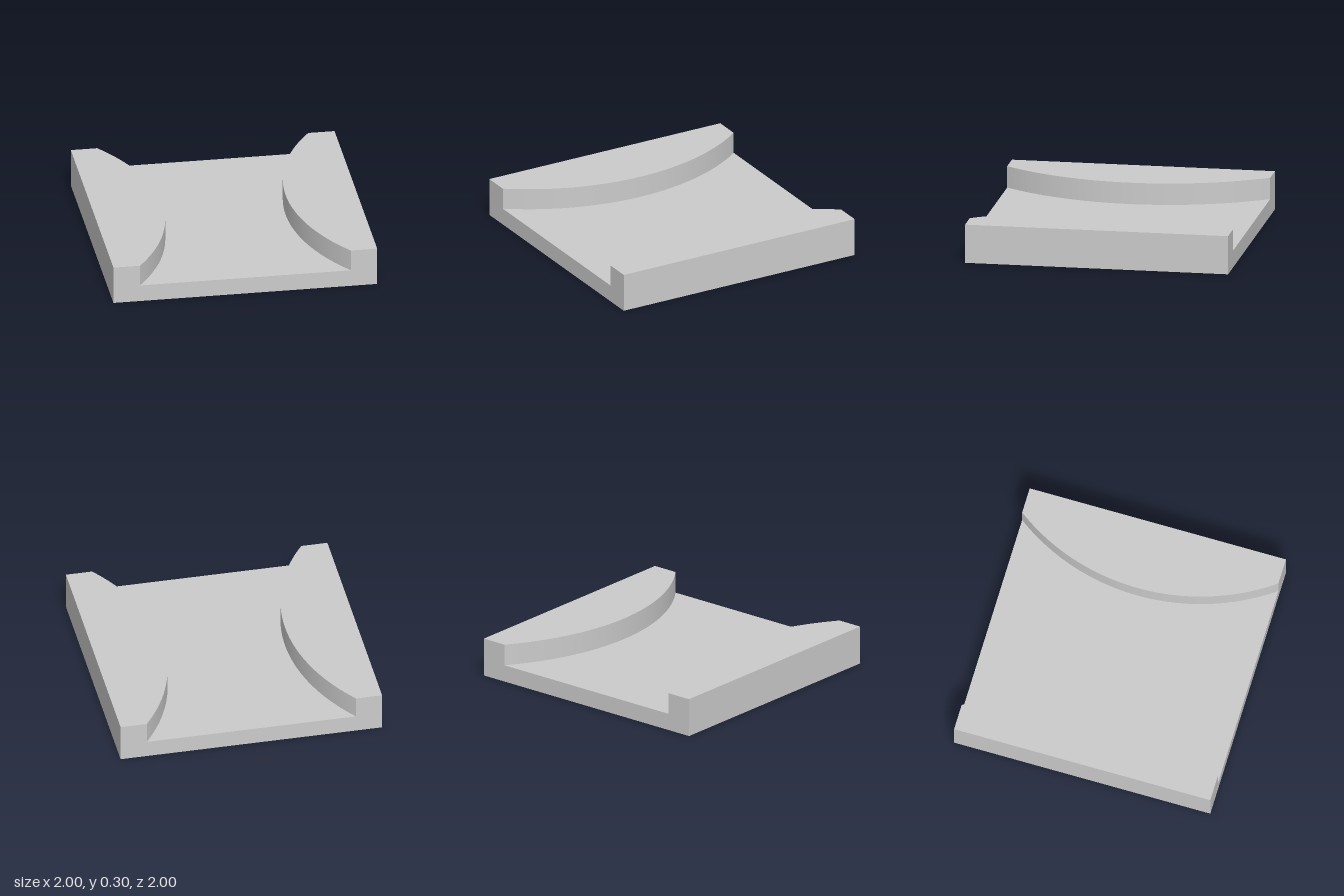
import * as THREE from 'three';
import { toCreasedNormals } from 'three/addons/utils/BufferGeometryUtils.js';

const BASE_H = 0.13, TOTAL_H = 0.295;
const END_X = 0.8, MID_X = 0.467; // inner edge of a side wall at its ends and middle

export function createModel() {
  const group = new THREE.Group();
  const material = new THREE.MeshStandardMaterial({ color: 0xcccccc });

  // Flat square floor plate
  const base = new THREE.Mesh(new THREE.BoxGeometry(2, BASE_H, 2), material);
  base.name = 'basePlate';
  base.position.y = BASE_H / 2;
  group.add(base);

  // Side wall outline: straight outside, circular arc bulging inwards
  const sag = END_X - MID_X;
  const radius = (1 + sag * sag) / (2 * sag);
  const half = Math.asin(1 / radius);
  const outline = new THREE.Shape();
  outline.moveTo(1, -1);
  outline.lineTo(1, 1);
  outline.lineTo(END_X, 1);
  outline.absarc(MID_X + radius, 0, radius, Math.PI - half, Math.PI + half, false);
  outline.closePath();

  const wallGeometry = toCreasedNormals(
    new THREE.ExtrudeGeometry(outline, {
      depth: TOTAL_H - BASE_H, bevelEnabled: false, curveSegments: 32,
    }).rotateX(-Math.PI / 2),
    Math.PI / 6
  );

  // The right wall is the left one turned half a revolution
  for (const [name, turn] of [['leftWall', 0], ['rightWall', Math.PI]]) {
    const wall = new THREE.Mesh(wallGeometry, material);
    wall.name = name;
    wall.position.y = BASE_H;
    wall.rotation.y = turn;
    group.add(wall);
  }
  return group;
}
